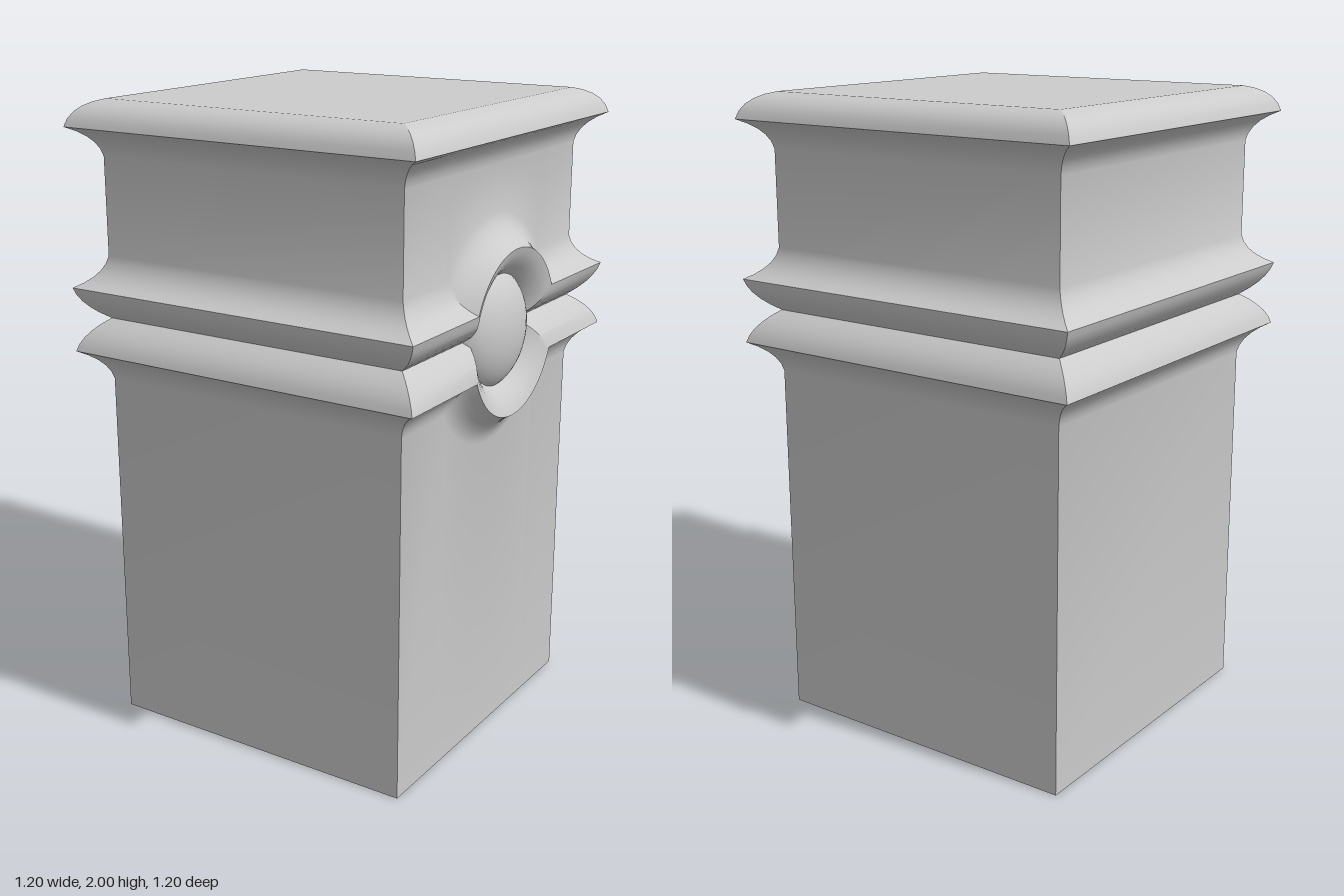
import * as THREE from 'three';
import { toCreasedNormals } from 'three/addons/utils/BufferGeometryUtils.js';

const MID = 1.335;   // height of the groove between the two rails
const RING = 0.155;  // radius the rail profile bends around
const WALL = 0.52, ARC = 40;

// Samples a curved moulding section as [half width, height] pairs.
function curve(a, b, c, n = 5) {
  const q = new THREE.QuadraticBezierCurve(new THREE.Vector2(...a), new THREE.Vector2(...b), new THREE.Vector2(...c));
  return q.getPoints(n).map((p) => [p.x, p.y]);
}

// Rail section, measured outwards from the groove: convex lip, then cove.
const rail = [
  ...curve([WALL, 0], [0.587, 0.045], [0.6, 0.1]),
  ...curve([0.6, 0.1], [0.53, 0.135], [WALL, 0.195]).slice(1),
];
// Cornice section, from the wall up to the flat top.
const cornice = [
  ...curve([WALL, 1.83], [0.53, 1.89], [0.6, 1.92]),
  ...curve([0.6, 1.92], [0.585, 1.985], [0.51, 2]).slice(1),
];

// One row of points on a face; side is +1 above the groove, -1 below it.
function railRow([w, d], side, withRing) {
  const y = MID + side * d;
  const row = [[-w, y, w]];
  if (withRing) {
    const r = RING + d, start = Math.asin(d / r);
    for (let i = 0; i <= ARC; i++) {
      const t = Math.PI - start - (Math.PI - 2 * start) * i / ARC;
      row.push([r * Math.cos(t), MID + side * r * Math.sin(t), w]);
    }
  }
  row.push([w, y, w]);
  return row;
}

// Straight row that keeps the inner spacing of its neighbour.
function straightRow([w, y], like) {
  return like.map(([u], i) => [i === 0 ? -w : i === like.length - 1 ? w : u, y, w]);
}

// Joins neighbouring rows, listed bottom to top, with triangles.
function loft(rows, out) {
  for (let j = 0; j < rows.length - 1; j++) {
    const lo = rows[j], hi = rows[j + 1];
    for (let i = 0; i < lo.length - 1; i++) {
      out.push(...lo[i], ...lo[i + 1], ...hi[i + 1], ...lo[i], ...hi[i + 1], ...hi[i]);
    }
  }
}

function faceGeometry(withRing) {
  const upper = rail.map((p) => railRow(p, 1, withRing));
  const lower = rail.map((p) => railRow(p, -1, withRing)).reverse();
  const edge = upper[upper.length - 1];
  const out = [];
  loft([straightRow([WALL, 0], lower[0]), ...lower], out);
  loft([...upper, ...cornice.map((p) => straightRow(p, edge))], out);
  const g = new THREE.BufferGeometry();
  g.setAttribute('position', new THREE.Float32BufferAttribute(out, 3));
  return toCreasedNormals(g, 0.6);
}

export function createModel() {
  const model = new THREE.Group();
  model.name = 'pillar';
  const material = new THREE.MeshStandardMaterial({ color: 0xcccccc, side: THREE.DoubleSide });
  const add = (name, geometry) => {
    const mesh = new THREE.Mesh(geometry, material);
    mesh.name = name;
    model.add(mesh);
    return mesh;
  };

  // Four moulded sides; the left one carries the round ornament. Open below.
  const plain = faceGeometry(false);
  ['frontSide', 'leftSide', 'backSide', 'rightSide'].forEach((name, i) => {
    add(name, i === 1 ? faceGeometry(true) : plain).rotation.y = i * Math.PI / 2;
  });

  // Flat top
  const top = add('top', new THREE.PlaneGeometry(1.02, 1.02));
  top.rotation.x = -Math.PI / 2;
  top.position.y = 2;

  // Domed boss inside the ring
  const dome = new THREE.SphereGeometry(0.186, 40, 12, 0, Math.PI * 2, 0, Math.PI / 2);
  dome.scale(1, 0.1 / 0.186, 1);
  dome.rotateZ(-Math.PI / 2);
  add('boss', dome).position.set(0.5, MID, 0);

  return model;
}
